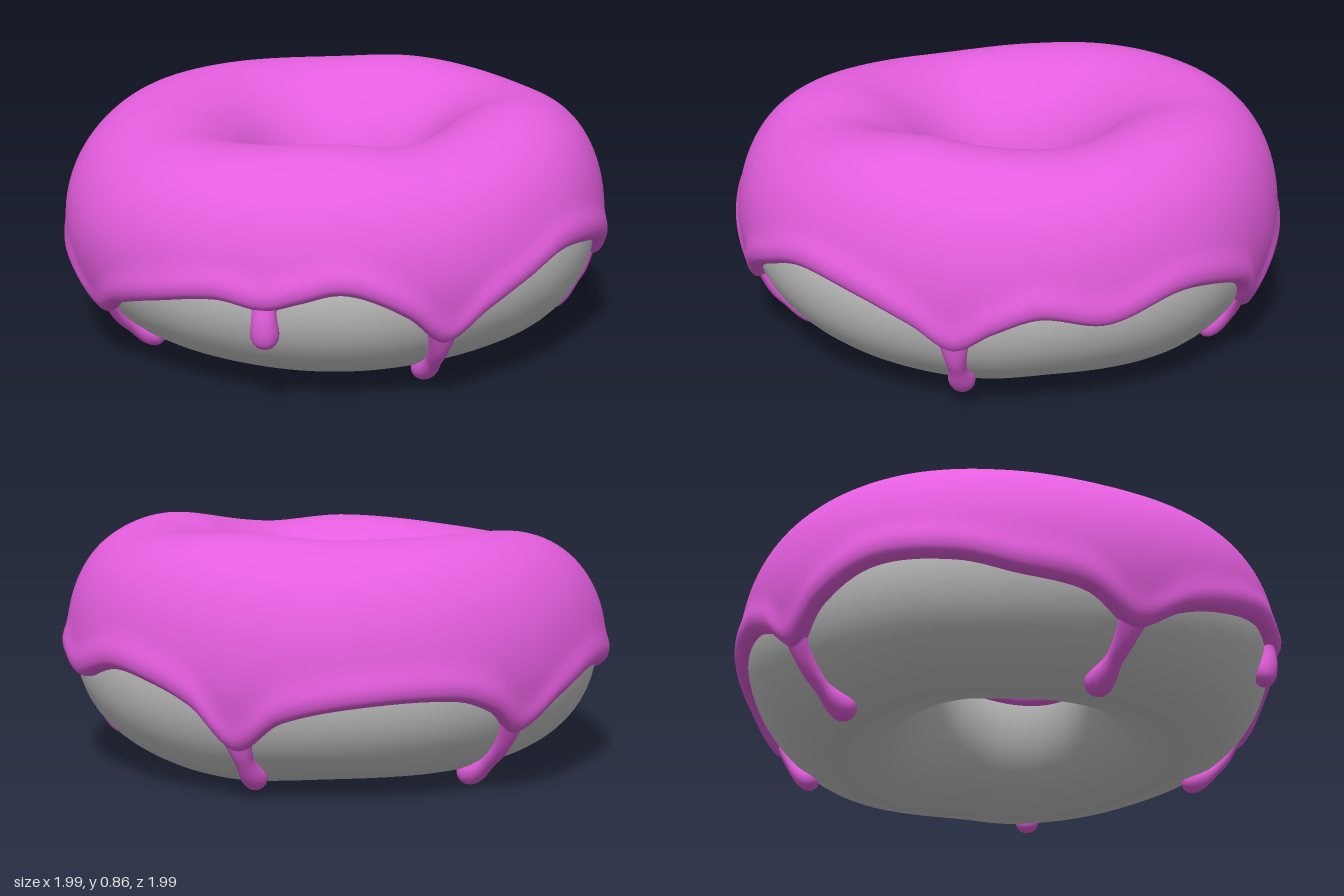
import * as THREE from 'three';

const RING = 0.615, HALF_WIDTH = 0.338, MID_Y = 0.44, ICING = 0.03;
const rad = THREE.MathUtils.degToRad;
const lerp = THREE.MathUtils.lerp;
const smooth = THREE.MathUtils.smoothstep;

// Periodic smooth curve through [degrees, value] keys
function ringCurve(keys) {
  const n = keys.length;
  const key = (i) => {
    const turn = Math.floor(i / n), k = keys[i - turn * n];
    return [k[0] + 360 * turn, k[1]];
  };
  return (theta) => {
    let deg = ((THREE.MathUtils.radToDeg(theta) % 360) + 360) % 360;
    if (deg < keys[0][0]) deg += 360;
    let i = 0;
    while (key(i + 1)[0] <= deg) i++;
    const [p, a, b, q] = [key(i - 1), key(i), key(i + 1), key(i + 2)];
    const h = b[0] - a[0], t = (deg - a[0]) / h;
    const m0 = (b[1] - p[1]) / (b[0] - p[0]) * h, m1 = (q[1] - a[1]) / (q[0] - a[0]) * h;
    return (2 * t ** 3 - 3 * t * t + 1) * a[1] + (t ** 3 - 2 * t * t + t) * m0
      + (3 * t * t - 2 * t ** 3) * b[1] + (t ** 3 - t * t) * m1;
  };
}

// Uneven top, outward lean of the crest, uneven underside, and the icing's outer edge
const topHeight = ringCurve([[0, 0.862], [24, 0.876], [65, 0.815], [92, 0.835], [135, 0.805],
  [155, 0.80], [180, 0.828], [205, 0.855], [235, 0.862], [270, 0.858], [297, 0.874], [335, 0.848]]);
const crestLean = ringCurve([[0, 0.05], [45, 0.04], [90, 0.035], [140, 0.03], [180, 0.015],
  [225, 0.04], [270, 0.05], [305, 0.055]]);
const bottomHeight = ringCurve([[0, 0.05], [20, 0.055], [50, 0.068], [90, 0.058], [130, 0.065],
  [180, 0.055], [200, 0.065], [235, 0.055], [270, 0.053], [302, 0.032], [342, 0.062]]);
const edgeHeight = ringCurve([[5, 0.28], [13, 0.36], [25, 0.43], [40, 0.46], [52, 0.40], [61, 0.33],
  [69, 0.24], [77, 0.34], [85, 0.41], [91, 0.43], [98, 0.40], [105, 0.37], [115, 0.39], [130, 0.34],
  [142, 0.28], [153, 0.20], [164, 0.28], [178, 0.32], [190, 0.37], [207, 0.39], [220, 0.32],
  [230, 0.23], [237, 0.31], [246, 0.36], [264, 0.355], [280, 0.30], [290, 0.20], [298, 0.33],
  [309, 0.40], [320, 0.42], [335, 0.36], [348, 0.40], [357, 0.35]]);
const edgeAngle = (theta) => Math.asin((edgeHeight(theta) - MID_Y) / (MID_Y - bottomHeight(theta)));

// Point on the dough surface, pushed outwards by an offset
function surface(theta, phi, offset = 0) {
  const c = Math.cos(phi), s = Math.sin(phi);
  const half = s > 0 ? topHeight(theta) - ICING - MID_Y : MID_Y - bottomHeight(theta);
  const lean = crestLean(theta) * Math.max(0, s) ** 2;
  const hole = Math.max(0, -c) * (0.012 * Math.cos(theta) + 0.01 * Math.sin(theta));
  const r = RING + lean + hole + (HALF_WIDTH + offset) * c;
  return new THREE.Vector3(r * Math.cos(theta), MID_Y + (half + offset) * s, r * Math.sin(theta));
}

// Smooth skin over a grid that wraps in u, and in v when asked
function skin(nu, nv, wrapV, fn) {
  const pos = [], index = [], rows = wrapV ? nv : nv + 1;
  for (let j = 0; j < rows; j++)
    for (let i = 0; i < nu; i++) pos.push(...fn(i / nu, j / nv).toArray());
  for (let j = 0; j < nv; j++)
    for (let i = 0; i < nu; i++) {
      const k = (i + 1) % nu, l = (j + 1) % rows;
      const a = j * nu + i, b = j * nu + k, c = l * nu + i, d = l * nu + k;
      index.push(a, b, c, b, d, c);
    }
  const geo = new THREE.BufferGeometry();
  geo.setAttribute('position', new THREE.Float32BufferAttribute(pos, 3));
  geo.setIndex(index);
  geo.computeVertexNormals();
  return geo;
}

// Icing shell with a rounded, slightly swollen outer lip
function icingGeometry() {
  return skin(300, 72, false, (u, v) => {
    const theta = u * Math.PI * 2, s = (1 - Math.cos(v * Math.PI)) / 2;
    const inner = Math.PI + 0.1 + 0.06 * Math.sin(2 * theta), outer = edgeAngle(theta);
    const d = (inner - outer) * 0.37 * Math.min(s, 1 - s);
    const round = Math.sqrt(1 - (1 - Math.min(d / 0.03, 1)) ** 2);
    const lip = s > 0.5 ? 0.015 * Math.exp(-(((d - 0.055) / 0.045) ** 2)) : 0;
    return surface(theta, lerp(inner, outer, s), -0.006 + round * (ICING + 0.006 + lip));
  });
}

// Drip that hugs the dough: flat start under the lip, narrow neck, round bulb at the tip
function dripGeometry(degStart, degTip, phiTip, bulb) {
  const a0 = rad(degStart), a1 = rad(degTip), p0 = edgeAngle(a0) + 0.12, p1 = rad(phiTip);
  const path = (s) => surface(lerp(a0, a1, s), lerp(p0, p1, s), lerp(0.006, 0.014, s));
  let length = 0;
  for (let i = 0; i < 20; i++) length += path(i / 20).distanceTo(path((i + 1) / 20));
  return skin(18, 36, false, (u, v) => {
    const s = Math.sin(v * Math.PI / 2), d = length * (1 - s), ang = u * Math.PI * 2;
    const theta = lerp(a0, a1, s), phi = lerp(p0, p1, s);
    const tangent = path(s + 0.01).sub(path(s - 0.01)).normalize();
    const normal = surface(theta, phi, 0.1).sub(surface(theta, phi)).normalize();
    const side = normal.clone().cross(tangent).normalize();
    const cap = Math.sqrt(1 - (1 - Math.min(d / bulb, 1)) ** 2);
    const body = cap * lerp(bulb, 0.027, smooth(d, 0.05, 0.16));
    const width = body + 0.03 * (1 - s) ** 3;
    const height = body * lerp(0.6, 0.95, smooth(s, 0, 0.4));
    return path(s).addScaledVector(side, width * Math.cos(ang))
      .addScaledVector(normal, height * Math.sin(ang));
  });
}

export function createModel() {
  const group = new THREE.Group();
  const doughMat = new THREE.MeshStandardMaterial({ color: 0xc8c8c8 });
  doughMat.name = 'plain dough';
  const icingMat = new THREE.MeshStandardMaterial({ color: 0xe55edf });
  icingMat.name = 'pink icing';
  const add = (name, geo, mat) => {
    const mesh = new THREE.Mesh(geo, mat);
    mesh.name = name;
    group.add(mesh);
  };

  add('dough', skin(128, 56, true, (u, v) => surface(u * Math.PI * 2, -v * Math.PI * 2)), doughMat);
  add('icing', icingGeometry(), icingMat);

  // Start angle, tip angle, how far under the ring the tip reaches, bulb radius
  const drips = [
    [5, 5, -62, 0.045], [69, 67.5, -75, 0.045], [105, 105.5, -31, 0.047],
    [153, 156, -80, 0.05], [230, 230, -80, 0.05], [290, 289, -66, 0.043],
  ];
  for (const d of drips) add('icingDrip', dripGeometry(...d), icingMat);
  return group;
}
